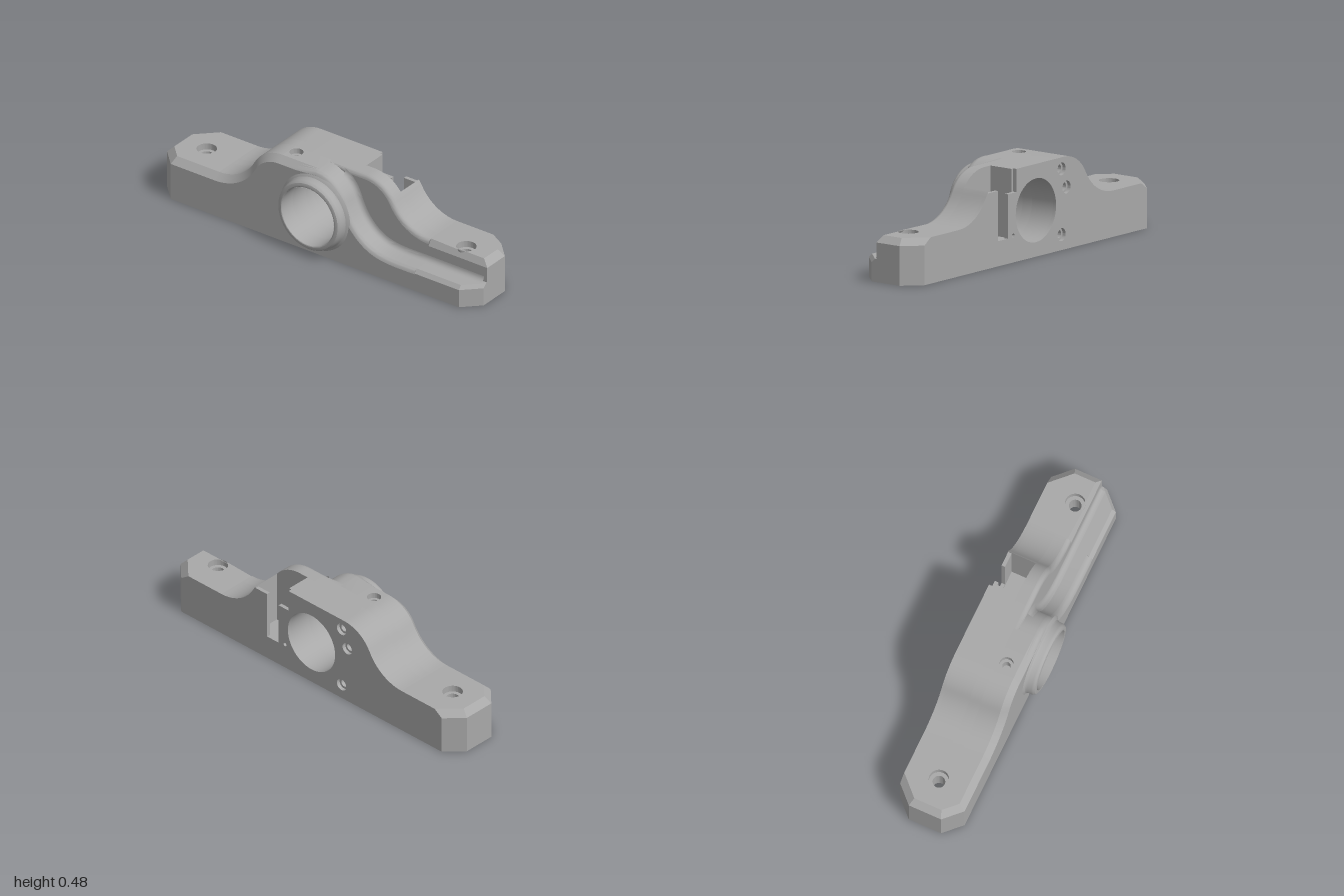
import * as THREE from 'three';
import { toCreasedNormals } from 'three/addons/utils/BufferGeometryUtils.js';

const V2 = (x, y) => new THREE.Vector2(x, y);
const grey = new THREE.MeshStandardMaterial({ color: 0xa8a8a8, side: THREE.DoubleSide });
grey.name = 'machined grey';

const XE = 0.63;                    // where the raised middle meets the flat ends
const BORE = [0, 0.24, 0.165];

// shape from an outline plus round holes [x, y, r]
function makeShape(pts, holes = []) {
  const s = new THREE.Shape(pts);
  for (const [x, y, r] of holes) {
    const p = new THREE.Path();
    p.absarc(x, y, r, 0, Math.PI * 2, true);
    s.holes.push(p);
  }
  return s;
}

// surface through rows of points
function strip(rows, closed = false) {
  const n = rows[0].length, pos = [], idx = [];
  rows.forEach(r => r.forEach(p => pos.push(p.x, p.y, p.z)));
  for (let i = 0; i < rows.length - 1; i++) {
    for (let j = 0; j < (closed ? n : n - 1); j++) {
      const a = i * n + j, b = i * n + (j + 1) % n;
      idx.push(a, a + n, b, b, a + n, b + n);
    }
  }
  const g = new THREE.BufferGeometry();
  g.setAttribute('position', new THREE.Float32BufferAttribute(pos, 3));
  g.setIndex(idx);
  return g;
}

// move a left-to-right curve along its upward normal; d(point) is the distance
function offset(pts, d) {
  return pts.map((p, i) => {
    const t = pts[Math.min(i + 1, pts.length - 1)].clone().sub(pts[Math.max(i - 1, 0)]).normalize();
    if (i === 0 || i === pts.length - 1) t.set(1, 0);
    const k = d(p);
    return V2(p.x - t.y * k, p.y + t.x * k);
  });
}

// inset a counter-clockwise polygon by a separate amount per edge
function insetPoly(pts, d) {
  const n = pts.length;
  const line = i => {
    const a = pts[i], t = pts[(i + 1) % n].clone().sub(a).normalize();
    return { p: V2(a.x - t.y * d[i], a.y + t.x * d[i]), t };
  };
  return pts.map((_, i) => {
    const A = line((i + n - 1) % n), B = line(i), w = B.p.clone().sub(A.p);
    return A.p.clone().addScaledVector(A.t, w.cross(B.t) / A.t.cross(B.t));
  });
}

// replace the curve between x0 and x1 by a notch
function notch(pts, x0, x1, inner) {
  const Y = x => {
    const i = pts.findIndex(p => p.x >= x), a = pts[i - 1], b = pts[i];
    return a.y + (b.y - a.y) * (x - a.x) / (b.x - a.x);
  };
  return [...pts.filter(p => p.x < x0 - 1e-4), V2(x0, Y(x0)), ...inner.map(q => V2(...q)),
    V2(x1, Y(x1)), ...pts.filter(p => p.x > x1 + 1e-4)];
}

// outline under a top curve
const under = top => [V2(-XE, 0), V2(XE, 0), ...[...top].reverse()];

export function createModel() {
  const root = new THREE.Group();
  root.name = 'bearingBracket';
  const add = (name, geo) => {
    const m = new THREE.Mesh(toCreasedNormals(geo, 0.5), grey);
    m.name = name;
    root.add(m);
    return m;
  };
  const layer = (name, shape, z0, z1) => add(name, new THREE.ExtrudeGeometry(shape,
    { depth: z1 - z0, bevelEnabled: false, curveSegments: 32 }).translate(0, 0, z0));
  // plan shapes use (x, -z) and rise in y
  const slab = (name, shape, y0, y1) => add(name, new THREE.ExtrudeGeometry(shape,
    { depth: y1 - y0, bevelEnabled: false, curveSegments: 24 }).rotateX(-Math.PI / 2).translate(0, y0, 0));

  // top curves: S-shaped shoulder, and the lower one of the front right ledge
  const shoulder = [V2(0, 0.48), V2(0.12, 0.48)];
  const bend = Math.atan2(0.213, 0.4);
  for (let i = 0; i <= 10; i++) {
    const a = Math.PI / 2 + (bend - Math.PI / 2) * i / 10;
    shoulder.push(V2(0.23 + 0.2 * Math.cos(a), 0.28 + 0.2 * Math.sin(a)));
  }
  for (let i = 1; i <= 10; i++) {
    const a = Math.PI + bend + (Math.PI / 2 - bend) * i / 10;
    shoulder.push(V2(XE + 0.253 * Math.cos(a), 0.493 + 0.253 * Math.sin(a)));
  }
  const left = shoulder.slice(1).reverse().map(p => V2(-p.x, p.y));
  const full = [...left, ...shoulder];
  const ledge = new THREE.SplineCurve([[0, 0.48], [0.06, 0.47], [0.12, 0.435], [0.165, 0.38], [0.195, 0.31],
    [0.235, 0.24], [0.3, 0.175], [0.38, 0.135], [0.48, 0.12], [XE, 0.12]].map(q => V2(...q))).getPoints(36);
  const front = [...left, ...ledge];

  // back plate with slotted opening, pocket layer, solid core and front layer
  const screws = r => [[-0.21, 0.42, r], [-0.25, 0.32, r], [-0.21, 0.08, r]];
  const slot = notch(full, 0.16, 0.39, [[0.16, 0.36], [0.23, 0.36], [0.23, 0.13], [0.31, 0.13], [0.31, 0.39], [0.39, 0.39]]);
  layer('backPlate', makeShape(under(slot), [BORE, ...screws(0.033), [0.185, 0.14, 0.01]]), -0.21, -0.19);
  const pocket = notch(full, 0.175, 0.39, [[0.175, 0.12], [0.39, 0.12]]);
  layer('pocketLayer', makeShape(under(pocket), [BORE, ...screws(0.021)]), -0.19, -0.055);
  layer('core', makeShape(under(full), [BORE]), -0.055, 0.005);
  const oilNotch = notch(front, -0.23, -0.15, [[-0.23, 0.4], [-0.15, 0.4]]);
  layer('frontLayer', makeShape(under(oilNotch), [BORE]), 0.005, 0.115);

  // stepped hole in the top
  const plug = [V2(-0.23, -0.115), V2(-0.15, -0.115), V2(-0.15, -0.005), V2(-0.23, -0.005)];
  slab('topHoleLower', makeShape(plug, [[-0.19, -0.05, 0.021]]), 0.4, 0.45);
  slab('topHoleUpper', makeShape(plug, [[-0.19, -0.05, 0.036]]), 0.45, 0.48);

  // front edge: chamfer on the left, rounded on the right
  const edge = [0, 0.25, 0.5, 0.7, 0.85, 1].map(t => {
    const round = 0.025 * (1 - Math.sqrt(1 - t * t));
    return { z: 0.115 + 0.035 * t, pts: offset(front, p => (p.x < -0.03 ? -0.035 * t : -round)) };
  });
  add('frontEdge', strip(edge.map(e => e.pts.map(p => new THREE.Vector3(p.x, p.y, e.z)))));
  add('frontFace', new THREE.ShapeGeometry(makeShape(under(edge[5].pts), [BORE]), 32).translate(0, 0, 0.15));
  add('frontFoot', strip([0.15, 0.115].map(z => [-XE, XE].map(x => new THREE.Vector3(x, 0, z)))));
  add('boreFront', new THREE.CylinderGeometry(0.165, 0.165, 0.095, 64, 1, true)
    .rotateX(Math.PI / 2).translate(0, 0.24, 0.1625));

  // rounded step between the shoulder and the ledge, with a fillet at its foot
  const step = [0, 0.3, 0.55, 0.8, 0.93, 1].map(t => ({
    z: 0.005 + 0.025 * t,
    pts: offset(shoulder, p => -0.025 * (1 - Math.sqrt(1 - t * t)) * Math.min(1, p.x / 0.1)),
  }));
  add('stepRound', strip(step.map(e => e.pts.map(p => new THREE.Vector3(p.x, p.y, e.z)))));
  add('stepFace', new THREE.ShapeGeometry(makeShape([...ledge, ...step[5].pts.slice(1).reverse()])).translate(0, 0, 0.03));
  const foot = [...ledge.filter(p => p.x > 0.1), V2(0.8, 0.12), V2(0.98, 0.12)];
  add('stepFillet', strip([0, 1, 2, 3, 4, 5].map(i => {
    const a = i * Math.PI / 10;
    return offset(foot, () => 0.03 * (1 - Math.sin(a)))
      .map(p => new THREE.Vector3(p.x, p.y, 0.03 + 0.03 * (1 - Math.cos(a))));
  })));

  // bearing boss with flared base and rounded rim
  const boss = [[0.22, 0.145], [0.212, 0.152], [0.202, 0.158], [0.197, 0.167], [0.196, 0.19], [0.193, 0.2],
    [0.187, 0.207], [0.178, 0.21], [0.17, 0.21], [0.165, 0.207]].map(q => V2(...q));
  add('bearingBoss', new THREE.LatheGeometry(boss, 64).rotateX(Math.PI / 2).translate(0, 0.24, 0));

  // flat mounting ends
  const plan = (s, pts) => {
    const p = pts.map(([x, z]) => V2(s * x, -z));
    return s < 0 ? p.reverse() : p;
  };
  const chamferTop = (name, pts, d, y0, y1, hole) => {
    const top = insetPoly(pts, d);
    const ring = (r, y) => r.map(p => new THREE.Vector3(p.x, y, -p.y));
    add(name + 'Chamfer', strip([ring(top, y1), ring(pts, y0)], true));
    add(name + 'Top', new THREE.ShapeGeometry(makeShape(top, hole ? [hole] : []), 24)
      .rotateX(-Math.PI / 2).translate(0, y1, 0));
    if (hole) add(name + 'Counterbore', new THREE.CylinderGeometry(hole[2], hole[2], y1 - y0, 48, 1, true)
      .translate(hole[0], (y0 + y1) / 2, -hole[1]));
  };
  const octagon = [[XE, 0.15], [0.91, 0.15], [1, 0.06], [1, -0.12], [0.91, -0.21], [XE, -0.21]];
  const upperRight = [[XE, 0.03], [1, 0.03], [1, -0.12], [0.91, -0.21], [XE, -0.21]];
  const ledgeEnd = [[XE, 0.15], [0.91, 0.15], [1, 0.06], [1, 0.03], [XE, 0.03]];
  for (const s of [-1, 1]) {
    const side = s < 0 ? 'rightEnd' : 'leftEnd';
    const hole = r => [s * 0.82, 0.035, r];
    const upper = plan(s, s < 0 ? octagon : upperRight);
    slab(side + 'Base', makeShape(plan(s, octagon), [hole(0.15)]), 0, 0.1);
    slab(side + 'Upper', makeShape(upper, [hole(0.032)]), 0.1, 0.205);
    // edge order follows each plan; the reversed one starts at the back
    chamferTop(side, upper, s < 0 ? [0, 0.035, 0.035, 0.035, 0.035, 0] : [0.02, 0.035, 0.035, 0, 0],
      0.205, 0.24, hole(0.052));
  }
  chamferTop('ledgeEnd', plan(1, ledgeEnd), [0.02, 0.015, 0, 0, 0], 0.1, 0.12);
  return root;
}
